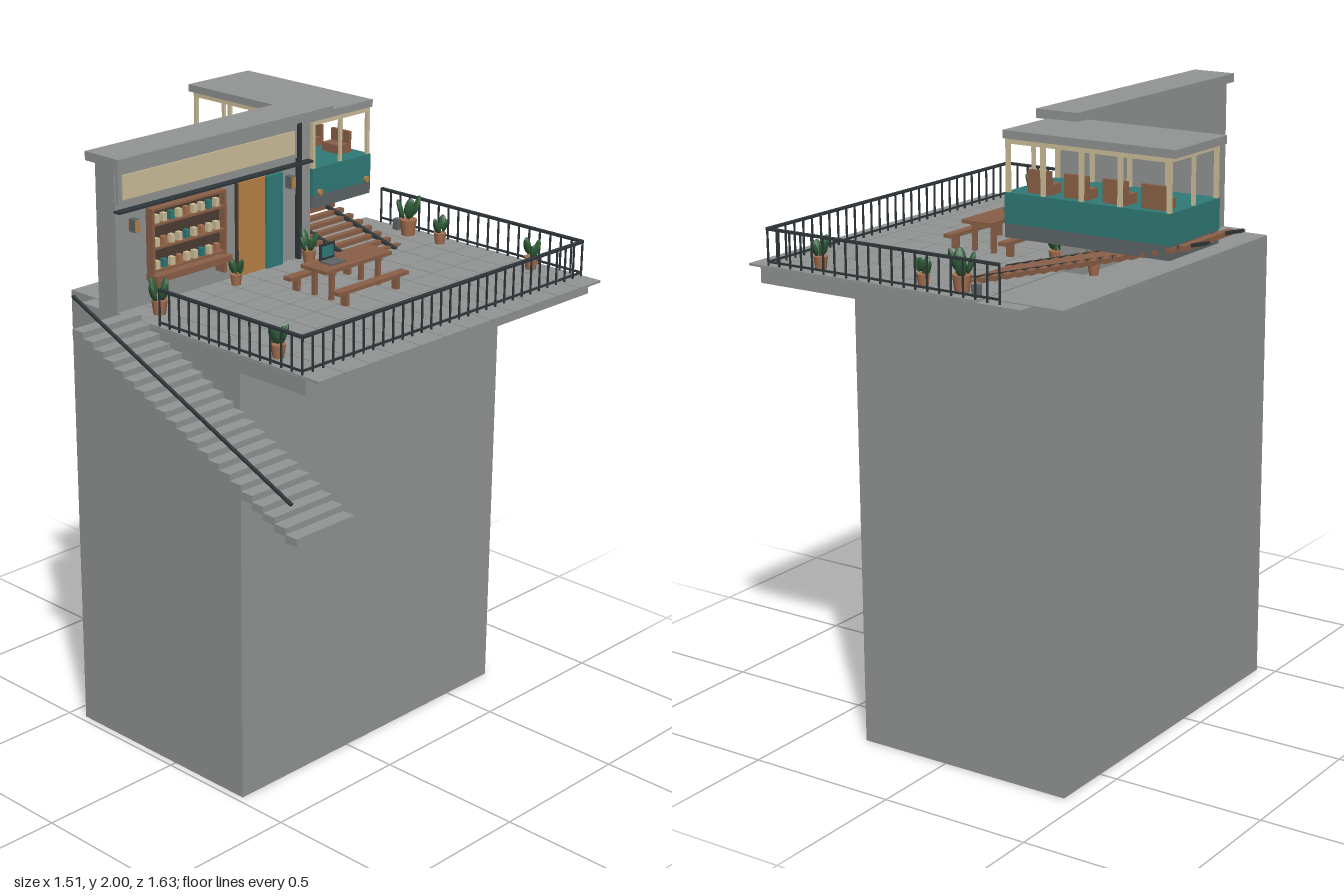
import * as THREE from 'three';

const mat = (name, color) => {
  const m = new THREE.MeshStandardMaterial({ color });
  m.name = name;
  return m;
};

export function createModel() {
  const concrete = mat('concrete', 0x939695);
  const dark = mat('darkMetal', 0x30373b);
  const wood = mat('wood', 0x8c6148);
  const teal = mat('tealPaint', 0x307b77);
  const cream = mat('cream', 0xcfc09a);
  const amber = mat('amberWood', 0xbb8346);
  const terracotta = mat('terracotta', 0xa87050);
  const green = mat('leafGreen', 0x305f3a);
  const slate = mat('slate', 0x5f6668);
  const shadowWood = mat('darkWood', 0x4d3e34);

  const model = new THREE.Group();
  const group = (name, parent = model) => {
    const g = new THREE.Group();
    g.name = name;
    parent.add(g);
    return g;
  };
  // box given by its minimum and maximum on each axis
  const box = (parent, name, material, x0, x1, y0, y1, z0, z1) => {
    const m = new THREE.Mesh(new THREE.BoxGeometry(x1 - x0, y1 - y0, z1 - z0), material);
    m.position.set((x0 + x1) / 2, (y0 + y1) / 2, (z0 + z1) / 2);
    m.name = name;
    parent.add(m);
  };
  // bar of width w and height h running between two points
  const bar = (parent, name, material, a, b, w, h) => {
    const p = new THREE.Vector3(...a), q = new THREE.Vector3(...b);
    const m = new THREE.Mesh(new THREE.BoxGeometry(w, h, p.distanceTo(q)), material);
    m.position.copy(p).add(q).multiplyScalar(0.5);
    m.lookAt(q);
    m.name = name;
    parent.add(m);
  };

  // cliff block and deck
  box(model, 'pillar', concrete, -0.478, 0.70, 0, 1.505, -0.44, 0.31);
  box(model, 'deck', concrete, -0.53, 0.752, 1.453, 1.502, -0.33, 0.63);
  const tiles = group('floorTiles');
  const pitch = 1.282 / 12;
  for (let i = 0; i < 12; i++) for (let j = 0; j < 8; j++) {
    const x = -0.53 + i * pitch, z = 0.68 - j * pitch;
    box(tiles, 'tile', concrete, x + 0.0015, x + pitch - 0.0015, 1.501, 1.508, z - pitch + 0.0015, z - 0.0015);
  }

  // side stairs and sloping handrail
  const stairs = group('stairs');
  for (let i = 0; i < 21; i++) {
    const z = 0.815 - i * 0.044, y = 1.118 + i * 0.0192;
    box(stairs, 'step', concrete, -0.755, -0.523, y, y + 0.024, z - 0.046, z);
  }
  bar(stairs, 'stairHandrail', dark, [-0.75, 1.236, 0.79], [-0.75, 1.627, -0.11], 0.009, 0.008);

  // deck railing
  const railing = group('railing');
  const fence = (x0, z0, x1, z1) => {
    bar(railing, 'topRail', dark, [x0, 1.622, z0], [x1, 1.622, z1], 0.012, 0.008);
    bar(railing, 'bottomRail', dark, [x0, 1.52, z0], [x1, 1.52, z1], 0.006, 0.006);
    const n = Math.round(Math.hypot(x1 - x0, z1 - z0) / 0.042);
    for (let i = 0; i <= n; i++) {
      const x = x0 + (x1 - x0) * i / n, z = z0 + (z1 - z0) * i / n;
      box(railing, 'baluster', dark, x - 0.0025, x + 0.0025, 1.505, 1.62, z - 0.0025, z + 0.0025);
    }
  };
  fence(-0.522, 0.607, 0.742, 0.607);
  fence(-0.522, 0.015, -0.522, 0.607);
  fence(0.742, -0.25, 0.742, 0.607);

  // cafe wall, roof, signboard and trim
  const cafe = group('cafe');
  box(cafe, 'wall', concrete, -0.53, 0.305, 1.45, 1.972, -0.25, -0.165);
  box(cafe, 'roof', concrete, -0.56, 0.356, 1.972, 2.0, -0.26, -0.113);
  box(cafe, 'signFrame', concrete, -0.525, 0.235, 1.845, 1.96, -0.166, -0.155);
  box(cafe, 'signPanel', cream, -0.51, 0.22, 1.86, 1.936, -0.156, -0.15);
  box(cafe, 'upperTrim', dark, -0.53, 0.3, 1.96, 1.965, -0.165, -0.15);
  box(cafe, 'awningRail', dark, -0.535, 0.295, 1.822, 1.829, -0.165, -0.14);
  box(cafe, 'drainpipe', dark, 0.237, 0.25, 1.505, 1.968, -0.165, -0.148);

  // doorway and sliding door
  box(cafe, 'doorway', amber, -0.03, 0.1, 1.505, 1.812, -0.166, -0.158);
  box(cafe, 'doorFrame', shadowWood, -0.034, -0.029, 1.505, 1.815, -0.166, -0.153);
  box(cafe, 'slidingDoor', teal, 0.094, 0.166, 1.505, 1.812, -0.166, -0.15);

  // display shelf with jars and counter
  const shelf = group('displayShelf');
  box(shelf, 'shelfBack', shadowWood, -0.405, -0.1, 1.6, 1.81, -0.166, -0.16);
  for (const x of [-0.408, -0.106]) box(shelf, 'shelfUpright', wood, x, x + 0.009, 1.59, 1.812, -0.165, -0.135);
  box(shelf, 'shelfTop', wood, -0.408, -0.097, 1.806, 1.813, -0.165, -0.135);
  for (const [row, y] of [1.618, 1.69, 1.764].entries()) {
    box(shelf, 'shelfBoard', wood, -0.405, -0.1, y - 0.007, y, -0.165, -0.135);
    for (let i = 0; i < 9; i++) {
      const x = -0.382 + i * 0.0315, k = (i + row * 2) % 5;
      box(shelf, 'jar', k === 1 ? teal : k === 3 ? terracotta : cream, x - 0.008, x + 0.008, y, y + 0.026, -0.158, -0.141);
    }
  }
  box(shelf, 'counter', wood, -0.41, -0.095, 1.585, 1.606, -0.166, -0.114);
  for (const x of [-0.395, -0.12]) box(shelf, 'counterBracket', wood, x, x + 0.012, 1.55, 1.586, -0.166, -0.125);

  // lamps with glowing front and back panes
  const lamp = (x, y, z) => {
    const g = group('wallLamp');
    box(g, 'lampHousing', slate, x - 0.01, x + 0.01, y - 0.02, y + 0.02, z - 0.013, z + 0.013);
    for (const d of [-0.014, 0.014])
      box(g, 'lampPane', amber, x - 0.009, x + 0.009, y - 0.018, y + 0.018, z + d - 0.002, z + d + 0.002);
  };
  lamp(-0.48, 1.78, -0.136);
  lamp(0.186, 1.78, -0.136);
  lamp(-0.5, 1.352, -0.12);
  box(model, 'lampBracket', dark, -0.495, -0.477, 1.362, 1.368, -0.124, -0.116);

  // inclined track
  const track = group('track');
  const trackY = z => 1.5 - z * 0.264;
  for (const x of [0.35, 0.54])
    bar(track, 'rail', dark, [x, trackY(0) + 0.008, 0], [x, trackY(-0.815) + 0.002, -0.815], 0.014, 0.01);
  for (let z = -0.024; z > -0.78; z -= 0.0428)
    box(track, 'sleeper', wood, 0.31, 0.58, trackY(z) - 0.006, trackY(z) + 0.009, z - 0.01, z + 0.01);

  // tram car with a solid painted body and open windows
  const tram = group('tramCar');
  box(tram, 'underframe', slate, 0.308, 0.58, 1.66, 1.702, -0.712, -0.156);
  box(tram, 'body', teal, 0.308, 0.58, 1.702, 1.793, -0.714, -0.155);
  for (const x of [0.31, 0.566]) {
    box(tram, 'sideHeader', cream, x, x + 0.012, 1.935, 1.952, -0.712, -0.158);
    for (const z of [-0.164, -0.285, -0.415, -0.545, -0.706])
      box(tram, 'windowPost', cream, x, x + 0.012, 1.792, 1.95, z - 0.006, z + 0.006);
  }
  for (const z of [-0.712, -0.17]) {
    box(tram, 'endHeader', cream, 0.31, 0.578, 1.935, 1.952, z, z + 0.012);
    box(tram, 'endPost', cream, 0.438, 0.448, 1.792, 1.94, z + 0.001, z + 0.011);
  }
  box(tram, 'ceiling', wood, 0.312, 0.576, 1.944, 1.952, -0.71, -0.16);
  box(tram, 'tramRoof', concrete, 0.305, 0.585, 1.95, 1.974, -0.732, -0.153);
  for (const x of [0.338, 0.558]) {
    const light = new THREE.Mesh(new THREE.CylinderGeometry(0.01, 0.01, 0.012, 12), amber);
    light.rotation.x = Math.PI / 2;
    light.position.set(x, 1.712, -0.153);
    light.name = 'headlight';
    tram.add(light);
  }
  for (const z of [-0.257, -0.384, -0.514, -0.642]) {
    box(tram, 'seat', wood, 0.498, 0.553, 1.793, 1.822, z - 0.04, z + 0.04);
    box(tram, 'seatBack', wood, 0.541, 0.553, 1.822, 1.862, z - 0.04, z + 0.04);
  }

  // picnic table, benches and laptop
  const table = group('picnicTable');
  for (let i = 0; i < 4; i++)
    box(table, 'tablePlank', wood, -0.028, 0.27, 1.6, 1.612, 0.117 + i * 0.0278, 0.1425 + i * 0.0278);
  for (const x of [0.01, 0.22]) {
    box(table, 'tableCrossbar', wood, x, x + 0.014, 1.588, 1.6, 0.122, 0.22);
    for (const z of [0.128, 0.2]) box(table, 'tableLeg', wood, x, x + 0.014, 1.505, 1.6, z, z + 0.014);
  }
  for (const z of [0.051, 0.258]) {
    box(table, 'benchSeat', wood, -0.035, 0.28, 1.548, 1.56, z, z + 0.031);
    for (const x of [0.0, 0.23]) box(table, 'benchLeg', wood, x, x + 0.014, 1.505, 1.55, z + 0.004, z + 0.027);
  }
  const laptop = group('laptop');
  box(laptop, 'laptopBase', slate, 0.025, 0.09, 1.612, 1.617, 0.15, 0.198);
  box(laptop, 'laptopLid', dark, 0.025, 0.09, 1.615, 1.668, 0.145, 0.15);
  box(laptop, 'laptopScreen', teal, 0.033, 0.082, 1.625, 1.66, 0.1495, 0.152);

  // potted plants: a ring of upright oval leaves over an open pot
  const leafGeo = new THREE.SphereGeometry(1, 8, 6);
  const potGeo = new THREE.CylinderGeometry(0.023, 0.017, 0.042, 12);
  const plant = (x, z, s) => {
    const g = group('pottedPlant');
    g.position.set(x, 1.507, z);
    g.scale.setScalar(s);
    g.rotation.y = x * 9 + z * 7;
    const pot = new THREE.Mesh(potGeo, terracotta);
    pot.position.y = 0.021;
    pot.name = 'pot';
    g.add(pot);
    box(g, 'stem', green, -0.003, 0.003, 0.04, 0.075, -0.003, 0.003);
    for (let i = 0; i < 4; i++) {
      const a = i * 1.7, leaf = new THREE.Mesh(leafGeo, green);
      leaf.scale.set(0.007, 0.027, 0.014);
      leaf.position.set(Math.cos(a) * 0.021, 0.078 - i * 0.005, Math.sin(a) * 0.021);
      leaf.rotation.set(0, -a, -0.3, 'YXZ');
      leaf.name = 'leaf';
      g.add(leaf);
    }
  };
  [[-0.445, -0.07, 1.1], [-0.085, -0.108, 0.85], [0.24, -0.105, 1], [0.69, -0.08, 1.3],
    [0.69, 0.06, 0.9], [0.69, 0.445, 1], [-0.465, 0.455, 1], [0.298, -0.28, 0.8]].forEach(p => plant(...p));
  box(model, 'utilityBox', slate, 0.699, 0.722, 1.502, 1.545, -0.158, -0.136);

  return model;
}
